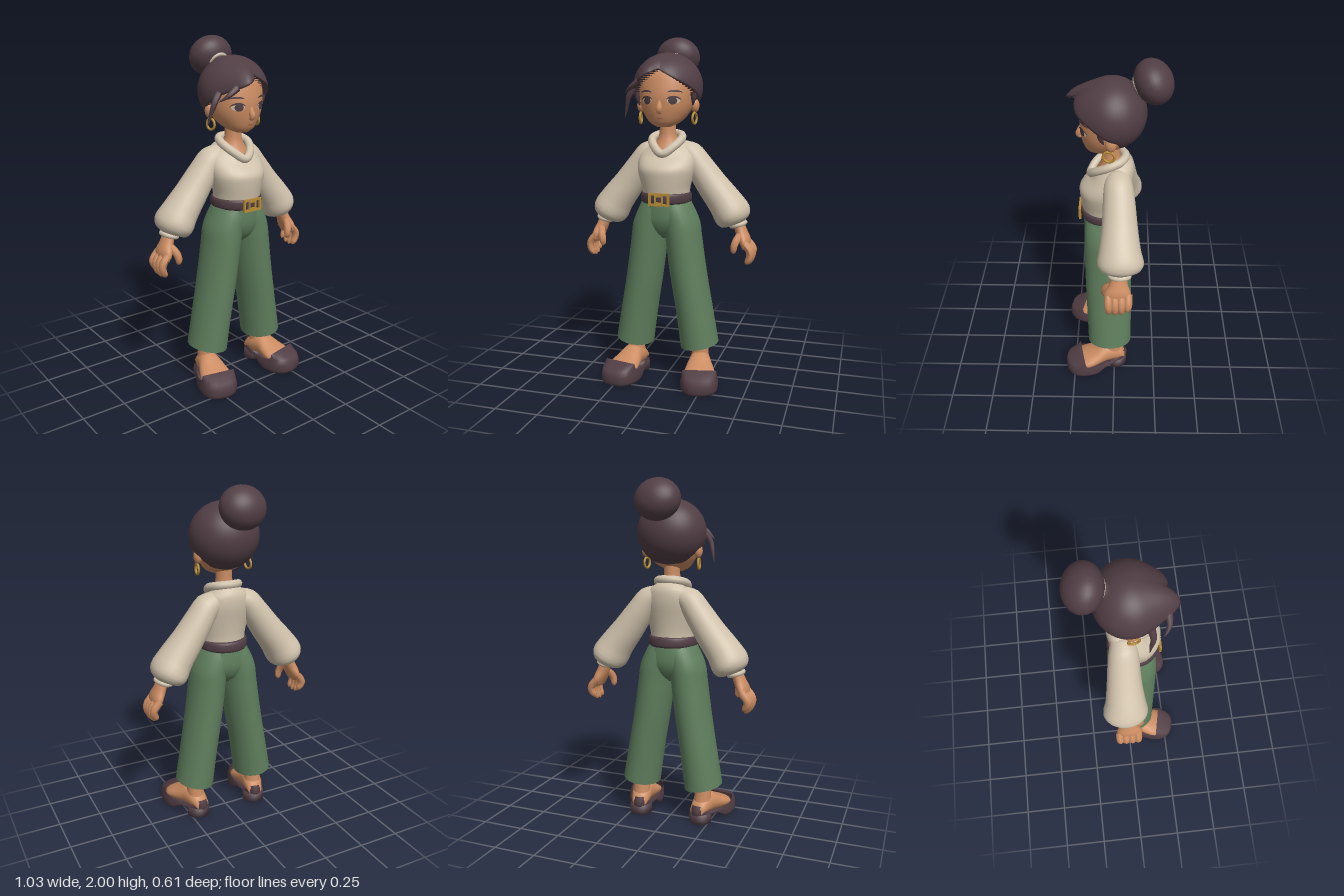
import * as THREE from 'three';
import { mergeVertices } from 'three/addons/utils/BufferGeometryUtils.js';

const V = (x, y, z) => new THREE.Vector3(x, y, z);
const mat = (name, color, side = THREE.FrontSide) => {
  const m = new THREE.MeshStandardMaterial({ color, side });
  m.name = name;
  return m;
};
const step = THREE.MathUtils.smoothstep;

// Closed rows of points joined into a smooth skin, turned to face outward
function skinRows(rows, capStart = true, capEnd = true) {
  const n = rows[0].length, pts = rows.flat(), idx = [];
  for (let i = 0; i < rows.length - 1; i++) for (let j = 0; j < n; j++) {
    const a = i * n + j, b = i * n + (j + 1) % n, c = a + n, d = b + n;
    idx.push(a, c, b, b, c, d);
  }
  const mean = list => list.reduce((s, p) => s.add(p), V(0, 0, 0)).divideScalar(list.length);
  const centre = mean(pts);
  const cap = (r, flip) => {
    const k = pts.push(mean(rows[r])) - 1;
    for (let j = 0; j < n; j++) {
      const a = r * n + j, b = r * n + (j + 1) % n;
      idx.push(k, flip ? b : a, flip ? a : b);
    }
  };
  if (capStart) cap(0, false);
  if (capEnd) cap(rows.length - 1, true);
  let volume = 0;
  for (let i = 0; i < idx.length; i += 3) {
    const [a, b, c] = [0, 1, 2].map(k => pts[idx[i + k]].clone().sub(centre));
    volume += a.dot(b.cross(c));
  }
  if (volume < 0) idx.reverse();
  const g = new THREE.BufferGeometry().setFromPoints(pts);
  g.setIndex(idx);
  g.computeVertexNormals();
  return g;
}

// Elliptical ring: centre, two radii, tilt about x and about z
function ring([x, y, z, rx, rz, tx = 0, tz = 0], s = 1, n = 28) {
  const e = new THREE.Euler(tx, 0, tz * s);
  return Array.from({ length: n }, (_, j) => {
    const t = j / n * Math.PI * 2;
    return V(rx * Math.cos(t), 0, rz * Math.sin(t)).applyEuler(e).add(V(x * s, y, z));
  });
}

// Smooth loft through rings; s = -1 mirrors it in x
function loft(list, { s = 1, start = true, end = true, sub = 3 } = {}) {
  const rings = list.map(r => ring(r, s)), count = (list.length - 1) * sub;
  const columns = rings[0].map((_, j) => new THREE.CatmullRomCurve3(rings.map(r => r[j])).getPoints(count));
  return skinRows(Array.from({ length: count + 1 }, (_, i) => columns.map(c => c[i])), start, end);
}

// Tube whose radius follows a rule along its length
function taper(points, radius, n = 12) {
  const curve = new THREE.CatmullRomCurve3(points);
  const g = new THREE.TubeGeometry(curve, n, 1, 8), p = g.attributes.position, v = V(0, 0, 0);
  for (let i = 0; i < p.count; i++) {
    const u = Math.floor(i / 9) / n, c = curve.getPointAt(u);
    v.fromBufferAttribute(p, i).sub(c).multiplyScalar(radius(u)).add(c);
    p.setXYZ(i, v.x, v.y, v.z);
  }
  g.computeVertexNormals();
  return g;
}
const loopTube = (points, r) => new THREE.TubeGeometry(new THREE.CatmullRomCurve3(points, true), 48, r, 10, true);

// Hair cap: ellipsoid cut along a hairline, with two swept front lobes
function hairGeometry() {
  const line = [[0, 1.8], [0.52, 1.745], [1.05, 1.69], [1.45, 1.64], [1.75, 1.62], [1.98, 1.55], [2.4, 1.53], [3.2, 1.53]];
  const hairline = a => {
    const i = Math.max(1, line.findIndex(l => l[0] >= a)), [p, q] = [line[i - 1], line[i]];
    return THREE.MathUtils.lerp(p[1], q[1], (a - p[0]) / (q[0] - p[0]));
  };
  const rowsN = 20, g = new THREE.SphereGeometry(1, 64, rowsN), p = g.attributes.position;
  for (let i = 0; i < p.count; i++) {
    const row = Math.floor(i / 65), col = i % 65, phi = (col / 64) * Math.PI * 2 - Math.PI;
    const t = Math.min(1, row / (rowsN - 1)), w = step(t, 0.2, 1), inner = row === rowsN;
    const theta = t * Math.acos((hairline(Math.abs(phi)) - 1.71) / 0.19);
    const lobe = 0.08 * Math.exp(-(((phi + 0.38) / 0.42) ** 2)) + 0.025 * Math.exp(-(((phi - 0.42) / 0.38) ** 2));
    const groove = 1 - 0.09 * w * Math.exp(-((phi / 0.1) ** 2));
    const k = Math.sin(theta) * (inner ? 0.78 : groove);
    p.setXYZ(i, 0.2 * k * Math.sin(phi), 1.71 + 0.19 * Math.cos(theta),
      0.015 + 0.185 * k * Math.cos(phi) + (inner ? 0 : lobe * w));
  }
  g.deleteAttribute('uv');
  g.deleteAttribute('normal');
  const m = mergeVertices(g, 1e-5);
  m.computeVertexNormals();
  return m;
}

// Low-cut shoe: egg-shaped outline, dipped rim and a closed toe
function shoeGeometry() {
  const row = (scale, height, lid) => Array.from({ length: 40 }, (_, j) => {
    const t = j / 40 * Math.PI * 2, c = Math.cos(t), sn = Math.sin(t);
    const x = Math.sign(c) * Math.abs(c) ** 0.8 * (0.1 + 0.04 * sn) * scale;
    const z = 0.115 + 0.195 * sn * scale;
    const sole = 0.045 * (1 - step(z, 0.05, 0.14));
    const rim = 0.068 + 0.045 * step(-z, 0, 0.07) + 0.02 * step(z, 0.13, 0.22);
    const y = lid ? (z > 0.205 ? 0.115 : rim) : THREE.MathUtils.lerp(sole, rim, height);
    return V(x, y, lid ? Math.min(z, 0.205) : z);
  });
  return skinRows([row(0.95, 0), row(1, 0.2), row(1, 0.6), row(0.94, 1), row(0.94, 1, true)], true, false);
}

function frameGeometry(w, h, t) {
  const rect = (T, a, b) => new T([[-a, -b], [a, -b], [a, b], [-a, b]].map(q => new THREE.Vector2(...q)));
  const shape = rect(THREE.Shape, w / 2, h / 2);
  shape.holes.push(rect(THREE.Path, w / 2 - t, h / 2 - t));
  return new THREE.ExtrudeGeometry(shape, { depth: 0.014, bevelEnabled: false });
}

export function createModel() {
  const model = new THREE.Group();
  const dark = mat('dark plum', 0x513e45, THREE.DoubleSide), skin = mat('skin', 0xcb8c62);
  const cream = mat('cream cloth', 0xd0c2ac, THREE.DoubleSide), green = mat('green cloth', 0x5f7e5d, THREE.DoubleSide);
  const gold = mat('gold', 0xb58b35), lip = mat('lip', 0xb0714f);
  const add = (name, g, m, parent = model) => {
    const mesh = new THREE.Mesh(g, m);
    mesh.name = name;
    parent.add(mesh);
    return mesh;
  };
  const ball = (name, m, c, r) => {
    const b = add(name, new THREE.SphereGeometry(1, 28, 20), m);
    b.position.set(...c);
    b.scale.set(...r);
    return b;
  };

  // Head and neck
  const head = add('head', loft([[0, 1.487, 0.1, 0.035, 0.035], [0, 1.508, 0.08, 0.08, 0.078], [0, 1.55, 0.05, 0.12, 0.125],
    [0, 1.6, 0.04, 0.145, 0.145], [0, 1.66, 0.035, 0.156, 0.153], [0, 1.72, 0.03, 0.16, 0.148], [0, 1.78, 0.02, 0.145, 0.14],
    [0, 1.84, 0.02, 0.09, 0.09]]), skin);
  add('neck', loft([[0, 1.385, 0.03, 0.085, 0.1, 0.5], [0, 1.43, 0.02, 0.053, 0.056, 0.2], [0, 1.5, 0.02, 0.046, 0.05],
    [0, 1.56, 0.02, 0.046, 0.05]]), skin);
  add('nose', taper([V(0, 1.635, 0.182), V(0, 1.6, 0.19), V(0, 1.578, 0.196), V(0, 1.565, 0.18)],
    u => 0.005 + 0.012 * Math.sin(Math.PI * u * 0.9)), skin);

  // Thin painted patches laid on the face
  const ray = new THREE.Raycaster();
  const patch = (name, m, cx, cy, w, top, bottom, lift) => {
    const g = new THREE.PlaneGeometry(1, 1, 12, 4), p = g.attributes.position;
    for (let i = 0; i < p.count; i++) {
      const u = p.getX(i) + 0.5, v = p.getY(i) + 0.5;
      const x = cx + (u - 0.5) * w, y = cy + THREE.MathUtils.lerp(bottom(u), top(u), v);
      ray.set(V(x, y, 1), V(0, 0, -1));
      const hit = ray.intersectObject(head)[0];
      p.setXYZ(i, x, y, (hit ? hit.point.z : 0.15) + lift);
    }
    g.computeVertexNormals();
    add(name, g, m);
  };
  const arc = (h, e = 1) => u => h * Math.max(0, Math.sin(Math.PI * u)) ** e;
  for (const s of [1, -1]) {
    patch('eyeWhite', cream, s * 0.075, 1.632, 0.066, arc(0.019, 0.6), arc(-0.019, 0.6), 0.003);
    patch('iris', dark, s * 0.073, 1.632, 0.046, arc(0.021, 0.5), arc(-0.02, 0.5), 0.005);
    patch('lash', dark, s * 0.077, 1.634, 0.08, arc(0.025, 0.6), arc(0.014, 0.6), 0.006);
    patch('eyebrow', dark, s * 0.082, 1.677, 0.078, arc(0.014, 0.6), arc(0.003), 0.005);
    ball('ear', skin, [s * 0.16, 1.607, 0.018], [0.024, 0.04, 0.03]);
    const hoop = add('earring', new THREE.TorusGeometry(0.03, 0.007, 10, 28), gold);
    hoop.position.set(s * 0.16, 1.535, 0.03);
    hoop.rotation.y = Math.PI / 2 - s * 0.15;
  }
  patch('mouth', lip, 0, 1.535, 0.04, arc(0.005), arc(-0.005), 0.003);

  // Hair, loose strands and bun
  add('hair', hairGeometry(), dark);
  const strand = u => 0.022 * (1 - u) ** 0.7;
  add('longStrand', taper([V(-0.165, 1.71, 0.11), V(-0.2, 1.655, 0.12), V(-0.215, 1.6, 0.11), V(-0.23, 1.535, 0.1)], strand), dark);
  add('shortStrand', taper([V(-0.11, 1.74, 0.2), V(-0.16, 1.705, 0.2), V(-0.205, 1.67, 0.17)], strand), dark);
  for (const s of [1, -1])
    add('sideburn', taper([V(s * 0.165, 1.68, 0.07), V(s * 0.164, 1.645, 0.07), V(s * 0.155, 1.605, 0.055)], strand), dark);
  ball('bun', dark, [0, 1.886, -0.197], [0.13, 0.1, 0.12]).rotation.x = -1.05;
  const stem = add('bunStem', new THREE.CylinderGeometry(0.06, 0.05, 0.08, 20), dark);
  stem.position.set(0, 1.85, -0.125);
  stem.rotation.x = -1.05;
  const tie = add('hairTie', new THREE.TorusGeometry(0.054, 0.013, 10, 28), cream);
  tie.position.set(0, 1.851, -0.127);
  tie.rotation.x = Math.PI / 2 - 1.05;

  // Blouse and collar
  add('blouse', loft([[0, 1.08, 0.05, 0.135, 0.13], [0, 1.14, 0.055, 0.14, 0.135], [0, 1.2, 0.056, 0.155, 0.142],
    [0, 1.25, 0.052, 0.166, 0.146], [0, 1.31, 0.03, 0.166, 0.138, 0.15], [0, 1.36, 0.018, 0.145, 0.125, 0.35],
    [0, 1.395, 0.03, 0.09, 0.1, 0.5]], { end: false }), cream);
  const half = [[0.055, 1.375, 0.105], [0.087, 1.42, 0.035], [0.06, 1.442, -0.035]];
  add('collar', loopTube([V(0, 1.338, 0.135), ...half.map(p => V(...p)), V(0, 1.447, -0.058),
    ...half.slice().reverse().map(([x, y, z]) => V(-x, y, z))], 0.024), cream);

  // Belt and buckle
  add('belt', loft([[0, 1.058, 0.047, 0.138, 0.145], [0, 1.07, 0.047, 0.146, 0.151], [0, 1.105, 0.049, 0.146, 0.151],
    [0, 1.117, 0.05, 0.138, 0.144]]), dark);
  add('buckle', frameGeometry(0.12, 0.072, 0.012), gold).position.set(0, 1.087, 0.193);
  add('buckleInner', frameGeometry(0.05, 0.046, 0.009), gold).position.set(0, 1.087, 0.192);

  // Trousers
  add('hips', loft([[0, 0.85, 0.04, 0.03, 0.06], [0, 0.89, 0.04, 0.1, 0.108], [0, 0.95, 0.04, 0.178, 0.135],
    [0, 1.01, 0.042, 0.168, 0.139], [0, 1.08, 0.045, 0.134, 0.135]]), green);

  for (const s of [1, -1]) {
    add('trouserLeg', loft([[0.2, 0.213, 0.03, 0.112, 0.132, 0, 0.16], [0.165, 0.44, 0.033, 0.107, 0.135, 0, 0.08],
      [0.138, 0.6, 0.036, 0.107, 0.137], [0.116, 0.75, 0.038, 0.106, 0.138], [0.102, 0.86, 0.04, 0.105, 0.138],
      [0.089, 0.94, 0.04, 0.107, 0.137], [0.06, 1.02, 0.043, 0.103, 0.13], [0.04, 1.08, 0.045, 0.088, 0.115]],
      { s, start: false }), green);

    // Sleeve gathered into a cuff
    add('sleeve', loft([[0.405, 0.937, -0.032, 0.045, 0.055, 0, 0.4], [0.394, 0.95, -0.035, 0.088, 0.104, 0, 0.5],
      [0.375, 0.985, -0.036, 0.107, 0.128, 0, 0.55], [0.33, 1.055, -0.032, 0.1, 0.114, 0, 0.6],
      [0.252, 1.155, -0.03, 0.09, 0.098, 0, 0.62], [0.173, 1.265, -0.025, 0.08, 0.088, 0, 0.7],
      [0.122, 1.33, -0.02, 0.074, 0.08, 0, 0.9], [0.06, 1.365, -0.02, 0.05, 0.06, 0, 1.2]], { s }), cream);
    add('cuff', loopTube(ring([0.408, 0.931, -0.032, 0.04, 0.052, 0, 0.3], s, 16), 0.014), cream);

    // Hand with curled fingers
    add('palm', loft([[0.462, 0.8, -0.022, 0.024, 0.068, 0, 0.4], [0.45, 0.84, -0.022, 0.033, 0.073, 0, 0.4],
      [0.43, 0.885, -0.026, 0.034, 0.052, 0, 0.35], [0.408, 0.945, -0.03, 0.03, 0.04, 0, 0.35]], { s }), skin);
    for (let i = 0; i < 4; i++) {
      const z = 0.028 - 0.036 * i, drop = [0.006, 0, 0.004, 0.022][i];
      add('finger', taper([V(s * 0.45, 0.835, z), V(s * 0.488, 0.785, z), V(s * 0.486, 0.738 + drop, z * 0.95),
        V(s * 0.462, 0.702 + drop, z * 0.9)], u => 0.023 * Math.sqrt(Math.max(0, 1 - u ** 6))), skin);
    }
    add('thumb', taper([V(s * 0.43, 0.88, 0), V(s * 0.41, 0.845, 0.04), V(s * 0.4, 0.81, 0.052), V(s * 0.397, 0.77, 0.046)],
      u => 0.022 * Math.sqrt(Math.max(0, 1 - u ** 6))), skin);

    // Foot in a heeled shoe, toes turned out
    const foot = new THREE.Group();
    foot.name = 'foot';
    foot.position.x = s * 0.197;
    foot.rotation.y = s * 0.21;
    model.add(foot);
    add('ankle', loft([[0, 0.07, 0.01, 0.055, 0.06], [0, 0.16, 0.018, 0.05, 0.052], [0, 0.25, 0.02, 0.047, 0.05],
      [0, 0.4, 0.02, 0.055, 0.06]]), skin, foot);
    const q = Math.PI / 2;
    add('instep', loft([[0, 0.075, -0.06, 0.042, 0.03, q], [0, 0.1, 0, 0.058, 0.06, q], [0, 0.105, 0.06, 0.065, 0.068, q],
      [0, 0.085, 0.13, 0.085, 0.052, q], [0, 0.068, 0.2, 0.092, 0.038, q], [0, 0.055, 0.26, 0.055, 0.022, q]]), skin, foot);
    add('shoe', shoeGeometry(), dark, foot);
    add('heel', loft([[0, 0, -0.012, 0.068, 0.064], [0, 0.055, -0.008, 0.066, 0.066]], { sub: 1 }), dark, foot);
  }
  return model;
}
